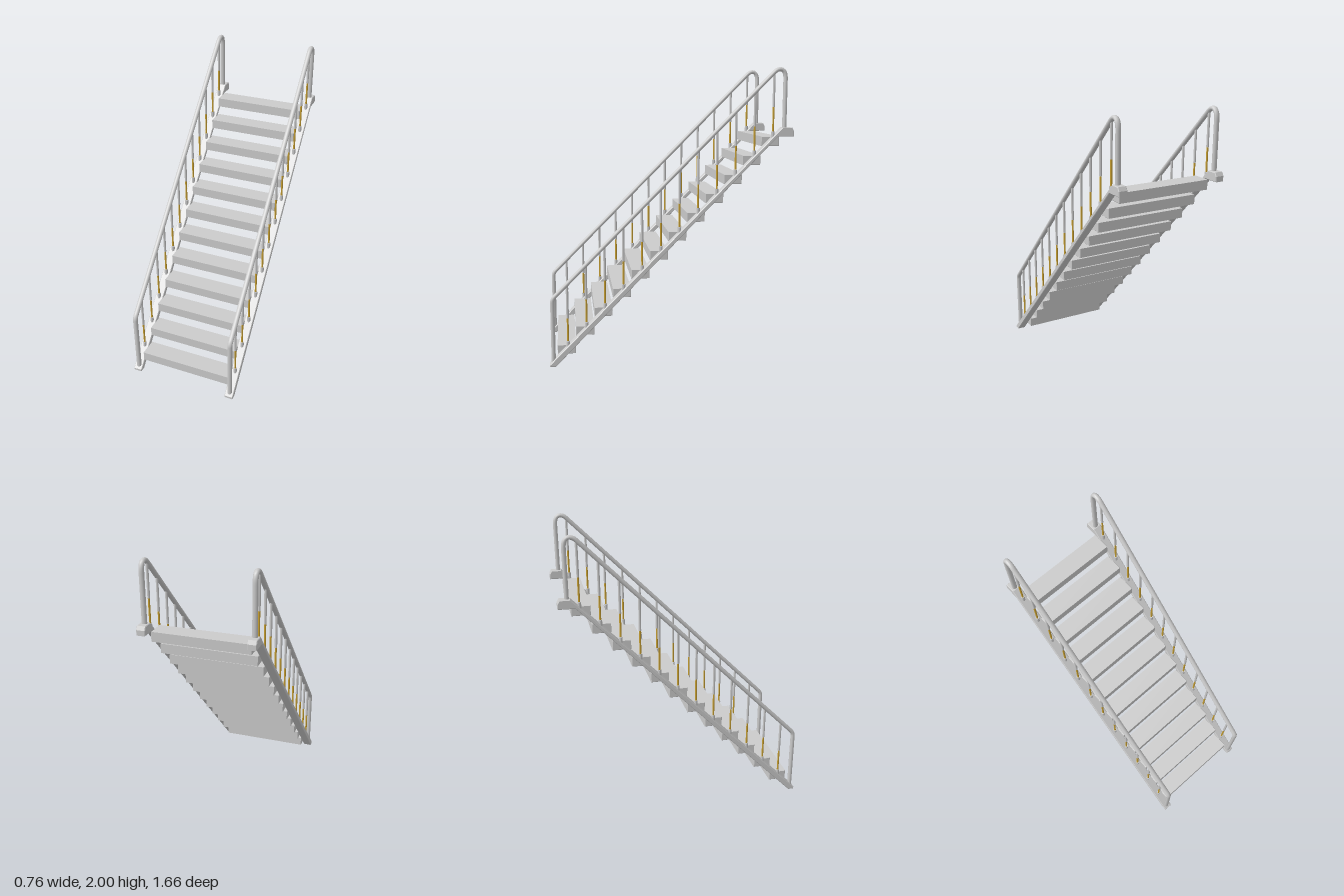
import * as THREE from 'three';

const STEPS = 12, RUN = 0.127, RISE = 0.1277;
const SIDE_X = 0.35; // centre line of stringer and railing

const grey = new THREE.MeshStandardMaterial({ color: 0xcccccc });
const gold = new THREE.MeshStandardMaterial({ color: 0xc8a032 });

function part(name, geometry, material = grey) {
  const mesh = new THREE.Mesh(geometry, material);
  mesh.name = name;
  return mesh;
}

// Extrude a (z, y) outline along x, centred on x = 0
function extrudeAcross(points, width, bevel) {
  const shape = new THREE.Shape(points.map(([z, y]) => new THREE.Vector2(-z, y)));
  const geo = new THREE.ExtrudeGeometry(shape, {
    depth: width - 2 * bevel, bevelEnabled: bevel > 0, bevelThickness: bevel,
    bevelSize: bevel, bevelOffset: -bevel, bevelSegments: 1,
  });
  geo.translate(0, 0, -width / 2 + bevel);
  return geo.rotateY(Math.PI / 2);
}

// Sloping side beam with a small foot and a level top end
function makeStringer() {
  return part('stringer', extrudeAcross([
    [0.83, 0], [0.79, 0], [-0.72, 1.54], [-0.83, 1.54],
    [-0.83, 1.575], [-0.817, 1.6], [-0.75, 1.6], [0.83, 0.015],
  ], 0.06, 0.004));
}

// Bottom post, sloping rail and top post bent from one bar
function makeHandrail() {
  const p = (z, y) => new THREE.Vector3(0, y, z);
  const path = new THREE.CurvePath();
  path.add(new THREE.LineCurve3(p(0.805, 0.02), p(0.805, 0.445)));
  path.add(new THREE.QuadraticBezierCurve3(p(0.805, 0.445), p(0.805, 0.467), p(0.785, 0.487)));
  path.add(new THREE.LineCurve3(p(0.785, 0.487), p(-0.69, 1.963)));
  path.add(new THREE.CubicBezierCurve3(p(-0.69, 1.963), p(-0.72, 1.994), p(-0.769, 2.0), p(-0.769, 1.92)));
  path.add(new THREE.LineCurve3(p(-0.769, 1.92), p(-0.769, 1.58)));
  const geo = new THREE.TubeGeometry(path, 200, 0.0145, 12, false);
  return part('handrail', geo.scale(1.2, 1, 1));
}

// Baluster: base collar, slim gold lower length, thicker upper rod
function makeBaluster() {
  const group = new THREE.Group();
  group.name = 'baluster';
  const rod = (name, r, y0, y1, material) => {
    const mesh = part(name, new THREE.CylinderGeometry(r, r, y1 - y0, 10), material);
    mesh.position.y = (y0 + y1) / 2;
    group.add(mesh);
  };
  rod('balusterBase', 0.012, -0.015, 0.03);
  rod('balusterSleeve', 0.0065, 0.03, 0.19, gold);
  rod('balusterRod', 0.0085, 0.19, 0.425);
  return group;
}

export function createModel() {
  const model = new THREE.Group();
  model.name = 'staircase';

  // Treads
  const treadGeo = extrudeAcross([
    [0.062, 0.0325], [0.062, -0.0325], [-0.062, -0.0325], [-0.062, 0.0325],
  ], 0.65, 0.003);
  for (let i = 0; i < STEPS; i++) {
    const tread = part('tread', treadGeo);
    tread.position.set(0, 0.1015 + i * RISE, 0.715 - i * RUN);
    model.add(tread);
  }

  // Matching stringer and railing on both sides
  for (const s of [1, -1]) {
    const side = new THREE.Group();
    side.name = s > 0 ? 'leftSide' : 'rightSide';
    side.position.x = s * SIDE_X;
    side.add(makeStringer(), makeHandrail());
    for (let i = 0; i < STEPS; i++) {
      const baluster = makeBaluster();
      baluster.position.set(0, 0.14 + i * RISE, 0.705 - i * RUN);
      side.add(baluster);
    }
    model.add(side);
  }
  return model;
}
